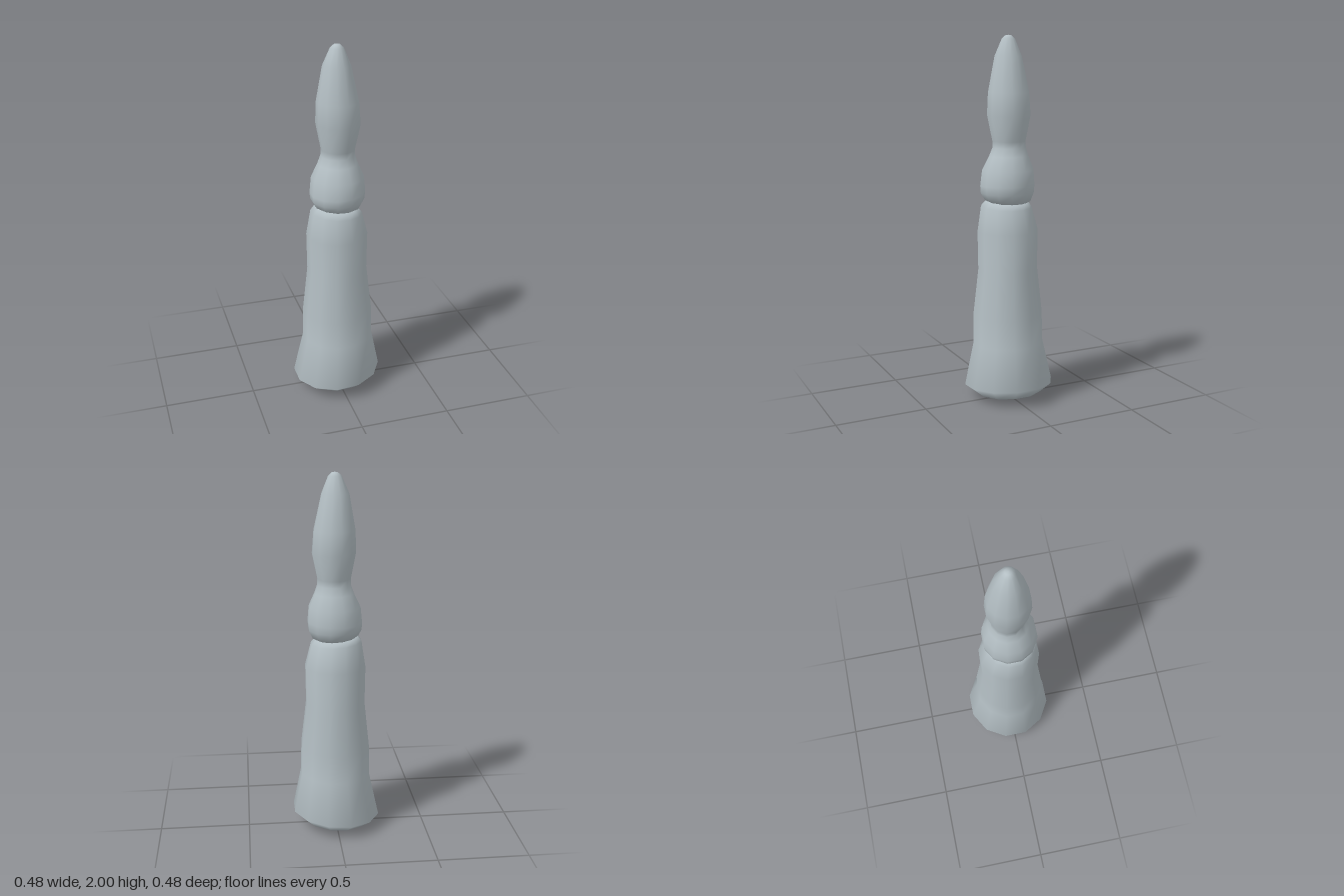
import * as THREE from 'three';

const SIDES = 12;

// Rings are [height, radius, centre x, centre z, rise per unit x]; both ends are closed at a pole.
function ringSolid(name, rings, bottomY, topY, material) {
  const positions = [];
  const index = [];
  const first = rings[0], last = rings[rings.length - 1];
  for (const [y, r, cx, cz, tilt] of rings) {
    for (let i = 0; i < SIDES; i++) {
      const a = ((i + 0.5) / SIDES) * Math.PI * 2;
      const dx = Math.cos(a) * r;
      positions.push(cx + dx, y + dx * tilt, cz + Math.sin(a) * r);
    }
  }
  const bottom = rings.length * SIDES, top = bottom + 1;
  positions.push(first[2], bottomY, first[3], last[2], topY, last[3]);
  const lastRow = (rings.length - 1) * SIDES;
  for (let i = 0; i < SIDES; i++) {
    const j = (i + 1) % SIDES;
    for (let row = 0; row < lastRow; row += SIDES) {
      const a = row + i, b = row + j, c = a + SIDES, d = b + SIDES;
      index.push(a, c, b, b, c, d);
    }
    index.push(bottom, i, j);
    index.push(top, lastRow + j, lastRow + i);
  }
  const geometry = new THREE.BufferGeometry();
  geometry.setAttribute('position', new THREE.Float32BufferAttribute(positions, 3));
  geometry.setIndex(index);
  geometry.computeVertexNormals();
  const mesh = new THREE.Mesh(geometry, material);
  mesh.name = name;
  return mesh;
}

export function createModel() {
  const group = new THREE.Group();
  group.name = 'taperedColumn';
  const grey = new THREE.MeshStandardMaterial({ color: 0xb4bfc4 });
  grey.name = 'blueGrey';

  // Flared lower shaft with a rounded, slightly tilted foot
  group.add(ringSolid('lowerShaft', [
    [0.012, 0.08, 0, 0, 0.03],
    [0.03, 0.182, 0, 0, 0.06],
    [0.083, 0.247, 0, 0, 0.075],
    [0.32, 0.196, 0.005, 0.005, 0.02],
    [0.48, 0.194, 0.004, 0.006, 0.02],
    [0.74, 0.165, 0.003, 0.005, 0],
    [0.95, 0.168, 0.003, 0.005, 0],
    [1.085, 0.14, -0.003, 0.012, -0.06],
    [1.115, 0.112, -0.003, 0.01, -0.06],
  ], 0, 1.125, grey));

  // Bulb, neck and pointed tip
  group.add(ringSolid('bulbAndTip', [
    [1.105, 0.1, 0, 0.005, -0.06],
    [1.122, 0.128, 0.004, 0.005, -0.04],
    [1.16, 0.147, 0.005, 0.008, 0],
    [1.2, 0.15, 0.005, 0.008, 0.03],
    [1.285, 0.142, 0.006, 0.006, 0],
    [1.36, 0.108, 0.008, 0.002, 0],
    [1.405, 0.092, 0.009, 0, 0],
    [1.44, 0.091, 0.01, 0.001, 0],
    [1.58, 0.119, 0.01, 0.002, -0.05],
    [1.7, 0.112, 0.007, 0.002, -0.02],
    [1.89, 0.074, 0.002, 0.002, 0],
    [1.98, 0.036, 0.004, 0.002, 0],
    [1.997, 0.017, 0.004, 0.002, 0],
  ], 1.1, 2, grey));

  return group;
}
